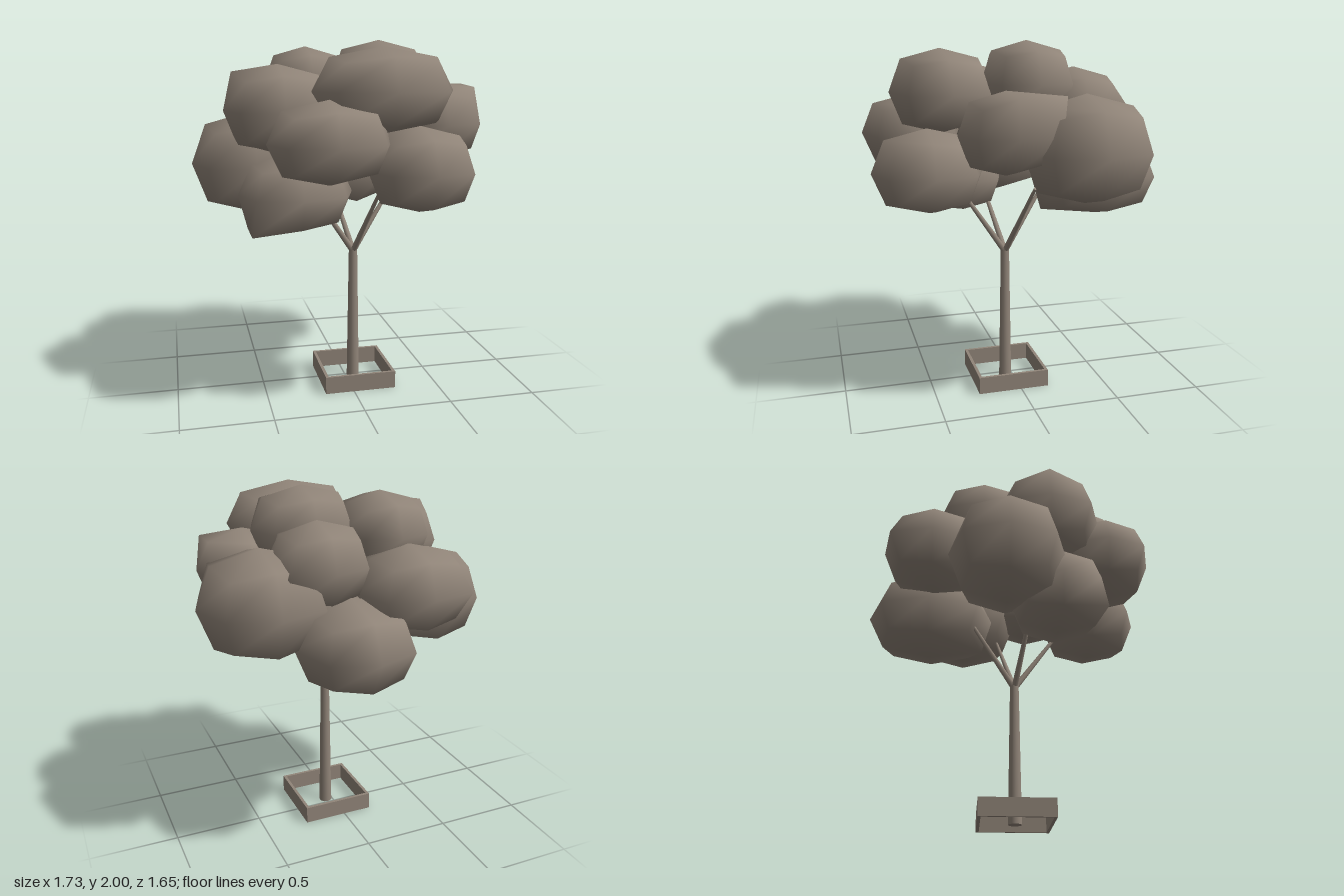
import * as THREE from 'three';
import { mergeVertices } from 'three/addons/utils/BufferGeometryUtils.js';

const TRUNK = { x: 0.04, z: 0.045, top: 0.82 };

// Distance of face-centre, edge and corner points along each axis of a clump
const ROUNDING = [0, 1, 0.76, 0.63];

// Rounded, smooth-shaded block of leaves with octagonal outlines.
// Each bump [ix, iy, iz, reach] pulls one grid point further out.
function clumpGeometry(rx, ry, rz, bumps) {
  let geo = new THREE.BoxGeometry(2, 2, 2, 2, 2, 2);
  geo.deleteAttribute('uv');
  geo.deleteAttribute('normal');
  geo = mergeVertices(geo, 1e-4);
  const pos = geo.attributes.position;
  const p = new THREE.Vector3();
  for (let i = 0; i < pos.count; i++) {
    p.fromBufferAttribute(pos, i).round();
    const bump = bumps.find(b => b[0] === p.x && b[1] === p.y && b[2] === p.z);
    const axes = Math.abs(p.x) + Math.abs(p.y) + Math.abs(p.z);
    p.multiplyScalar(bump ? bump[3] : ROUNDING[axes]);
    pos.setXYZ(i, p.x * rx, p.y * ry, p.z * rz);
  }
  geo.computeVertexNormals();
  return geo;
}

// Tapered round bar between two points
function taperedBar(a, b, ra, rb, material, sides) {
  const dir = b.clone().sub(a);
  const mesh = new THREE.Mesh(new THREE.CylinderGeometry(rb, ra, dir.length(), sides), material);
  mesh.position.copy(a).addScaledVector(dir, 0.5);
  mesh.quaternion.setFromUnitVectors(new THREE.Vector3(0, 1, 0), dir.normalize());
  return mesh;
}

export function createModel() {
  const tree = new THREE.Group();
  tree.name = 'tree';
  const taupe = new THREE.MeshStandardMaterial({ color: 0x918579 });
  taupe.name = 'taupe';

  // Square open planter frame
  const half = 0.207, inner = half - 0.017;
  const square = (P, s) => new P([[-s, -s], [s, -s], [s, s], [-s, s]].map(p => new THREE.Vector2(...p)));
  const frame = square(THREE.Shape, half);
  frame.holes.push(square(THREE.Path, inner));
  const planter = new THREE.Mesh(
    new THREE.ExtrudeGeometry(frame, { depth: 0.1, bevelEnabled: false }).rotateX(-Math.PI / 2), taupe);
  planter.name = 'planterFrame';
  planter.position.set(TRUNK.x, 0, TRUNK.z);
  tree.add(planter);

  // Trunk
  const fork = new THREE.Vector3(TRUNK.x, TRUNK.top, TRUNK.z);
  const trunk = taperedBar(new THREE.Vector3(TRUNK.x, 0, TRUNK.z), fork, 0.038, 0.025, taupe, 12);
  trunk.name = 'trunk';
  tree.add(trunk);

  // Four branches fanning out a quarter turn apart
  const branches = new THREE.Group();
  branches.name = 'branches';
  const start = fork.clone().setY(TRUNK.top - 0.03);
  for (let i = 0; i < 4; i++) {
    const a = 0.3 + i * Math.PI / 2;
    const end = start.clone().add(new THREE.Vector3(Math.cos(a) * 0.31, 0.43, -Math.sin(a) * 0.31));
    const branch = taperedBar(start, end, 0.018, 0.009, taupe, 8);
    branch.name = 'branch';
    branches.add(branch);
  }
  tree.add(branches);

  // Leaf clumps: centre x, y, z, half extents x, y, z, then any bumps
  const clumps = [
    [0.11, 1.735, 0.42, 0.38, 0.225, 0.275],
    [-0.20, 1.485, 0.54, 0.32, 0.215, 0.28],
    [0.28, 1.335, 0.525, 0.28, 0.225, 0.295, [-1, 1, 0, 0.82]],
    [-0.33, 1.19, 0.26, 0.31, 0.215, 0.28, [-1, -1, 1, 0.85], [-1, -1, 0, 0.85]],
    [-0.41, 1.63, 0.20, 0.29, 0.24, 0.30, [-1, 1, 0, 0.84]],
    [-0.535, 1.325, -0.03, 0.33, 0.285, 0.32],
    [0.48, 1.545, 0.155, 0.265, 0.215, 0.25, [1, 1, -1, 0.95], [1, 0, -1, 0.9], [1, 1, 0, 0.9]],
    [0.52, 1.455, -0.26, 0.34, 0.285, 0.34],
    [0.205, 1.78, -0.03, 0.285, 0.22, 0.25],
    [-0.20, 1.75, -0.155, 0.24, 0.215, 0.275],
    [-0.235, 1.50, -0.44, 0.295, 0.23, 0.285, [-1, 0, -1, 0.83], [1, 0, -1, 0.83]],
    [0.11, 1.25, -0.46, 0.31, 0.24, 0.37, [0, -1, 1, 0.84]],
    [0.22, 1.635, -0.29, 0.265, 0.225, 0.26, [1, 0, -1, 0.92]],
  ];
  const foliage = new THREE.Group();
  foliage.name = 'foliage';
  for (const [x, y, z, rx, ry, rz, ...bumps] of clumps) {
    const clump = new THREE.Mesh(clumpGeometry(rx, ry, rz, bumps), taupe);
    clump.name = 'leafClump';
    clump.position.set(x, y, z);
    foliage.add(clump);
  }
  tree.add(foliage);
  return tree;
}
